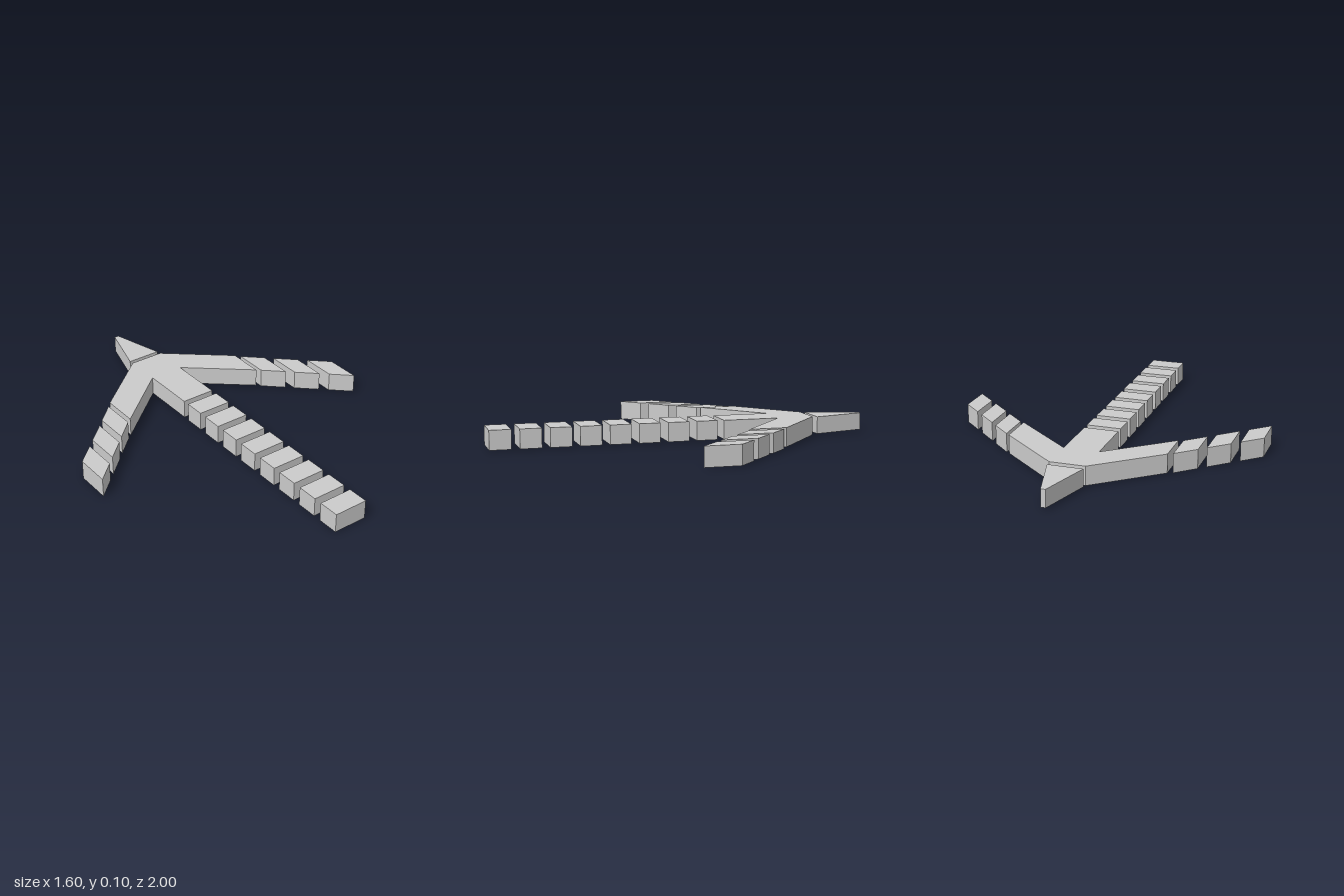
import * as THREE from 'three';

const material = new THREE.MeshStandardMaterial({ color: 0xcccccc, flatShading: true });

// Extrude a plan outline of [x, z] points between two heights
function slab(name, outline, bottom, top) {
  const shape = new THREE.Shape(outline.map(([x, z]) => new THREE.Vector2(x, -z)));
  const geometry = new THREE.ExtrudeGeometry(shape, { depth: top - bottom, bevelEnabled: false });
  geometry.rotateX(-Math.PI / 2).translate(0, bottom, 0);
  const mesh = new THREE.Mesh(geometry, material);
  mesh.name = name;
  return mesh;
}

export function createModel() {
  const model = new THREE.Group();
  model.name = 'segmentedArrow';

  // Pointed tip with a narrow blunt end
  model.add(slab('tip', [[-0.09, -0.72], [0.09, -0.72], [0.012, -1], [-0.012, -1]], 0.01, 0.1));

  // Central body: stem and two swept arms in one piece
  const half = [[0.09, -0.205], [0.09, -0.5], [0.408, -0.232], [0.408, -0.425], [0.09, -0.693]];
  const mirrored = half.map(([x, z]) => [-x, z]).reverse();
  model.add(slab('body', [...half, ...mirrored], 0.005, 0.103));

  // Tail blocks behind the stem
  const tail = new THREE.Group();
  tail.name = 'tail';
  for (let i = 0; i < 8; i++) {
    const block = new THREE.Mesh(new THREE.BoxGeometry(0.18, 0.1, 0.11), material);
    block.name = 'tailBlock';
    block.position.set(0, 0.054, -0.115 + i * 0.1514);
    tail.add(block);
  }
  model.add(tail);

  // Slanted blocks continuing each arm: [inner x, inner z]
  for (const side of [1, -1]) {
    const arm = new THREE.Group();
    arm.name = side > 0 ? 'leftArm' : 'rightArm';
    for (const [x, z] of [[0.43, -0.403], [0.563, -0.278], [0.7, -0.151]]) {
      const w = 0.098, drop = 0.091, depth = 0.185;
      const outline = [[x, z], [x, z + depth], [x + w, z + drop + depth], [x + w, z + drop]];
      arm.add(slab('armBlock', outline.map(([px, pz]) => [px * side, pz]), 0, 0.1));
    }
    model.add(arm);
  }
  return model;
}
